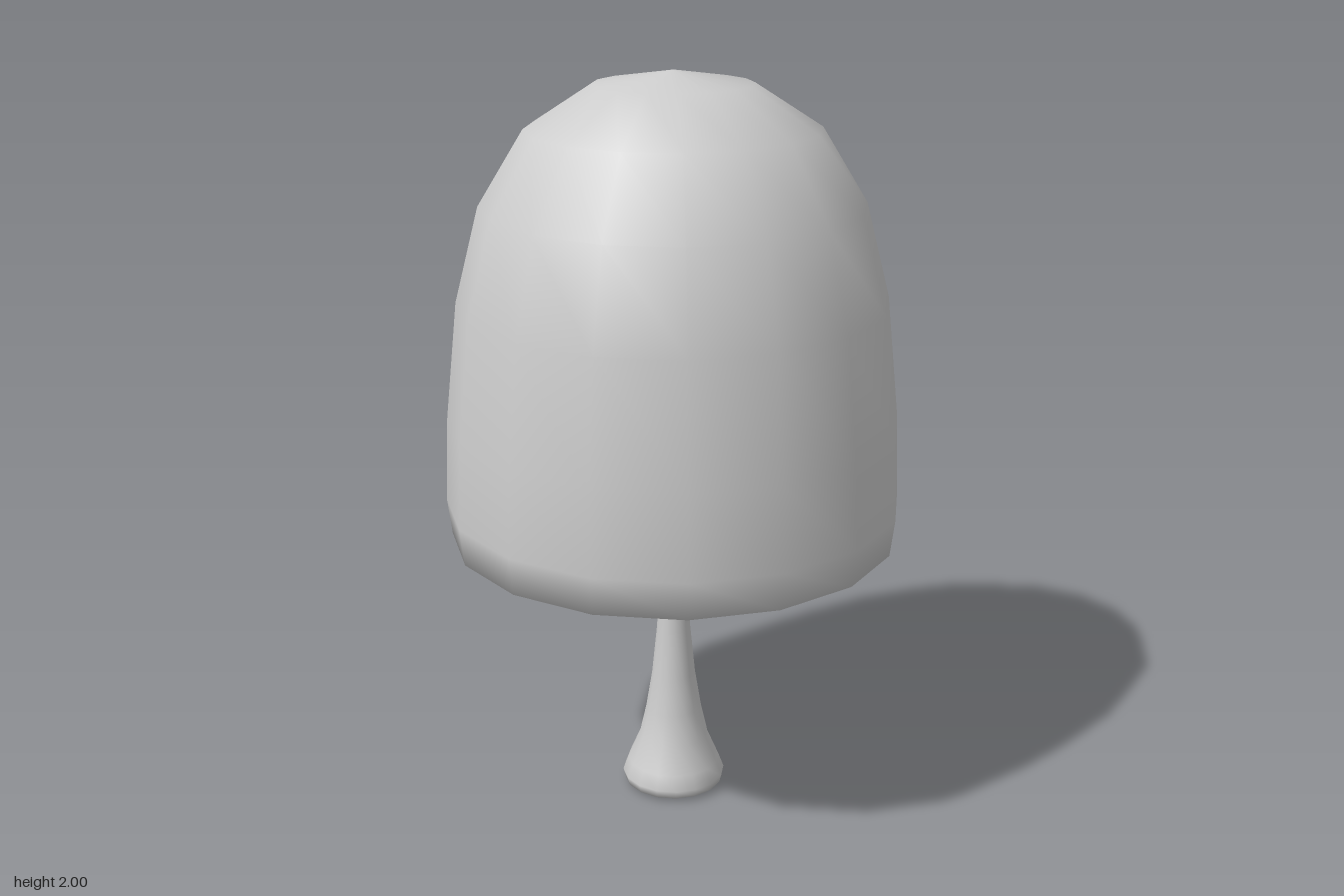
import * as THREE from 'three';

const SIDES = 16;

// Smooth lathe from [radius, height] pairs, listed bottom to top
function turned(name, profile, material) {
  const points = profile.map(([r, y]) => new THREE.Vector2(r, y));
  const mesh = new THREE.Mesh(new THREE.LatheGeometry(points, SIDES), material);
  mesh.name = name;
  return mesh;
}

export function createModel() {
  const model = new THREE.Group();
  model.name = 'domedTree';
  const paleGrey = new THREE.MeshStandardMaterial({ color: 0xcccccc });
  paleGrey.name = 'paleGrey';

  // Flared trunk, spreading again where it meets the crown
  model.add(turned('trunk', [
    [0, 0], [0.11, 0.005], [0.137, 0.012], [0.143, 0.035], [0.128, 0.075],
    [0.096, 0.15], [0.077, 0.235], [0.06, 0.34], [0.046, 0.48], [0.038, 0.62],
    [0.038, 0.7], [0.05, 0.73], [0.085, 0.741], [0.17, 0.746],
  ], paleGrey));

  // Tall domed crown with a flat underside and tucked rim
  model.add(turned('crown', [
    [0.17, 0.746], [0.515, 0.75], [0.598, 0.77], [0.61, 0.87], [0.6, 1.09],
    [0.565, 1.41], [0.5, 1.66], [0.38, 1.855], [0.205, 1.967], [0, 2],
  ], paleGrey));

  return model;
}
